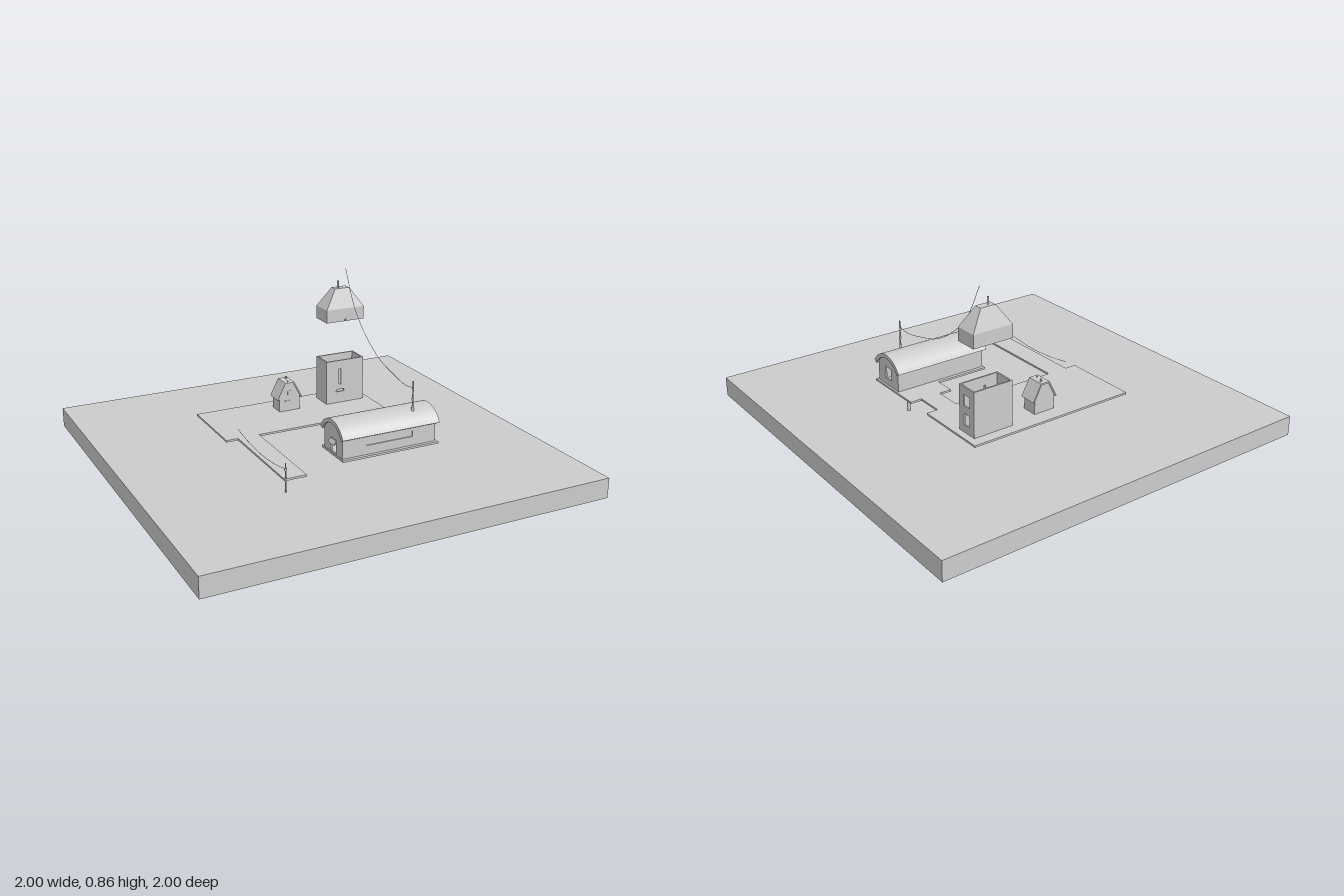
import * as THREE from 'three';

const mat = new THREE.MeshStandardMaterial({ color: 0xcccccc, side: THREE.DoubleSide });

export function createModel() {
  const root = new THREE.Group();

  const add = (name, geo, x = 0, y = 0, z = 0, parent = root) => {
    const m = new THREE.Mesh(geo, mat);
    m.name = name;
    m.position.set(x, y, z);
    parent.add(m);
    return m;
  };
  const group = (name) => {
    const g = new THREE.Group();
    g.name = name;
    root.add(g);
    return g;
  };
  const poly = (pts) => new THREE.Shape(pts.map(([x, y]) => new THREE.Vector2(x, y)));
  const rect = (x0, y0, x1, y1) => poly([[x0, y0], [x1, y0], [x1, y1], [x0, y1]]);
  const extrude = (shape, depth, holes = []) => {
    shape.holes.push(...holes.map((h) => rect(...h)));
    return new THREE.ExtrudeGeometry(shape, { depth, bevelEnabled: false, curveSegments: 24 });
  };
  // Box with one face left out (2 = top, 3 = bottom)
  const openBox = (w, h, d, face) => {
    const g = new THREE.BoxGeometry(w, h, d);
    const idx = Array.from(g.index.array);
    idx.splice(face * 6, 6);
    g.setIndex(idx);
    g.clearGroups();
    return g;
  };
  // Box whose top is narrowed to tw x td and shifted sideways by dx
  const frustum = (w, h, d, tw, td, dx = 0) => {
    const g = openBox(w, h, d, 3);
    const p = g.attributes.position;
    for (let i = 0; i < p.count; i++) {
      if (p.getY(i) > 0) {
        p.setX(i, Math.sign(p.getX(i)) * tw / 2 + dx);
        p.setZ(i, Math.sign(p.getZ(i)) * td / 2);
      }
    }
    const flat = g.toNonIndexed();
    flat.computeVertexNormals();
    return flat;
  };
  const rod = (name, r0, r1, x, y0, y1, z, parent) =>
    add(name, new THREE.CylinderGeometry(r1, r0, y1 - y0, 10), x, (y0 + y1) / 2, z, parent);
  const cable = (name, x, pts) => {
    const curve = new THREE.CatmullRomCurve3(pts.map(([y, z]) => new THREE.Vector3(x, y, z)));
    add(name, new THREE.TubeGeometry(curve, 40, 0.0012, 5));
  };

  // Hollow ground slab, open underneath
  add('ground', openBox(2, 0.1, 2, 3), 0, 0.05, 0);

  // Raised platform in plan: x, z
  const plan = poly([
    [-0.45, -0.44], [0.45, -0.44], [0.45, -0.05], [0.39, -0.05], [0.39, 0.09], [0.45, 0.09],
    [0.45, 0.415], [-0.065, 0.415], [-0.065, 0.2], [0.22, 0.2], [0.22, 0.09], [0.285, 0.09],
    [0.285, -0.05], [-0.28, -0.05], [-0.28, 0.475], [-0.39, 0.475], [-0.39, -0.05], [-0.45, -0.05],
  ]);
  add('platform', extrude(plan, 0.01), 0, 0.165, 0).rotation.x = Math.PI / 2;
  rod('platformPost', 0.008, 0.008, 0.435, 0.1, 0.158, 0.135);

  // Long hut with a vaulted roof
  const hut = group('hut');
  const hutZ = 0.308, cy = 0.205, rIn = 0.108, rOut = 0.128, span = 1.08, t = 0.008;
  const a0 = Math.PI / 2 - span, a1 = Math.PI / 2 + span;
  const wallTop = 0.262;
  const endShape = () => {
    const s = new THREE.Shape();
    const a = Math.acos(0.09 / rIn);
    s.moveTo(-0.09, 0.165);
    s.lineTo(0.09, 0.165);
    s.absarc(0, cy, rIn, a, Math.PI - a, false);
    s.closePath();
    return s;
  };
  const frontEnd = add('hutEndWall', extrude(endShape(), t, [[-0.025, 0.2, 0.025, 0.26]]), 0.432, 0, hutZ, hut);
  const doorEnd = add('hutDoorWall', extrude(endShape(), t, [[-0.025, 0.168, 0.025, 0.235]]), -0.06, 0, hutZ, hut);
  frontEnd.rotation.y = doorEnd.rotation.y = Math.PI / 2;
  add('hutFrontWall', extrude(rect(-0.06, 0.165, 0.44, wallTop), t, [[0.065, 0.21, 0.315, 0.24]]), 0, 0, 0.39, hut);
  add('hutBackWall', extrude(rect(-0.06, 0.165, 0.44, wallTop), t), 0, 0, 0.218, hut);
  add('hutWindowPane', new THREE.BoxGeometry(0.25, 0.03, 0.002), 0.19, 0.225, 0.392, hut);
  const vault = new THREE.Shape();
  vault.absarc(0, cy, rOut, a0, a1, false);
  vault.absarc(0, cy, rIn, a1, a0, true);
  vault.closePath();
  add('hutRoof', extrude(vault, 0.52), -0.07, 0, hutZ, hut).rotation.y = Math.PI / 2;
  add('hutAwning', new THREE.BoxGeometry(0.024, 0.003, 0.06), -0.066, 0.222, hutZ, hut).rotation.z = 1;

  // Mast on the hut roof
  const mast = group('mast');
  rod('mastFoot', 0.008, 0.006, 0.337, 0.31, 0.345, 0.355, mast);
  rod('mastPole', 0.004, 0.003, 0.337, 0.34, 0.47, 0.355, mast);
  rod('mastCollar', 0.006, 0.006, 0.337, 0.375, 0.385, 0.355, mast);
  rod('mastInsulator', 0.005, 0.005, 0.337, 0.43, 0.44, 0.355, mast);

  // Tower lower storey, open at the top
  const tower = group('tower');
  const tx = 0.308, tz = -0.327, tw = 0.213, td = 0.116, th = 0.23;
  const towerWall = (name, w, x, z, ry, holes = []) => {
    add(name, extrude(rect(-w / 2, 0, w / 2, th), t, holes), x, 0.165, z, tower).rotation.y = ry;
  };
  towerWall('towerFrontWall', tw, tx, tz + td / 2 - t, 0,
    [[-0.035, 0.1, -0.022, 0.185], [-0.05, 0.06, -0.005, 0.072]]);
  towerWall('towerBackWall', tw, tx, tz - td / 2, 0);
  towerWall('towerRightWall', td - 2 * t, tx + tw / 2 - t, tz, Math.PI / 2,
    [[-0.022, 0.04, 0.022, 0.095], [-0.022, 0.135, 0.022, 0.19]]);
  towerWall('towerLeftWall', td - 2 * t, tx - tw / 2, tz, Math.PI / 2);

  // Tower cap hovering over the storey
  const cap = group('towerCap');
  const ring = extrude(rect(-tw / 2, -td / 2, tw / 2, td / 2), 0.067,
    [[-tw / 2 + t, -td / 2 + t, tw / 2 - t, td / 2 - t]]);
  add('capWalls', ring, tx, 0.67, tz, cap).rotation.x = Math.PI / 2;
  add('capRoof', frustum(tw, 0.097, td, 0.08, 0.04), tx, 0.7185, tz, cap);
  rod('capChimney', 0.005, 0.005, 0.293, 0.76, 0.803, -0.325, cap);
  add('capLamp', new THREE.SphereGeometry(0.005, 10, 8), 0.308, 0.61, tz + td / 2, cap);

  // Small house with a steep, flat-crested roof
  const house = group('smallHouse');
  const hz = -0.32;
  const gable = poly([[-0.062, 0.165], [0.052, 0.165], [0.052, 0.24], [0.016, 0.308], [-0.026, 0.308], [-0.062, 0.24]]);
  add('houseBody', extrude(gable, 0.08), 0, 0, hz - 0.04, house);
  const roof = poly([
    [-0.075, 0.23], [-0.03, 0.316], [0.02, 0.316], [0.065, 0.23],
    [0.058, 0.228], [0.016, 0.308], [-0.026, 0.308], [-0.068, 0.228],
  ]);
  add('houseRoof', extrude(roof, 0.09), 0, 0, hz - 0.045, house);
  add('houseDoor', new THREE.BoxGeometry(0.026, 0.055, 0.006), -0.02, 0.193, hz + 0.04, house);
  add('houseWindow', new THREE.BoxGeometry(0.024, 0.024, 0.006), -0.005, 0.262, hz + 0.04, house);
  rod('houseChimney', 0.005, 0.005, 0.004, 0.31, 0.328, -0.342, house);
  rod('houseVent', 0.003, 0.003, -0.01, 0.31, 0.322, -0.295, house);

  // Pole at the jetty end, and the hanging cables
  rod('jettyPole', 0.004, 0.003, -0.383, 0.1, 0.24, 0.472);
  rod('jettyPoleCollar', 0.006, 0.006, -0.383, 0.205, 0.213, 0.472);
  cable('jettyCable', -0.383, [[0.212, 0.472], [0.19, 0.36], [0.18, 0.2], [0.188, 0.06], [0.206, -0.06]]);
  cable('mastCable', 0.337, [
    [0.437, 0.353], [0.428, 0.29], [0.448, 0.17], [0.487, 0.03],
    [0.57, -0.11], [0.68, -0.225], [0.862, -0.325],
  ]);

  return root;
}
